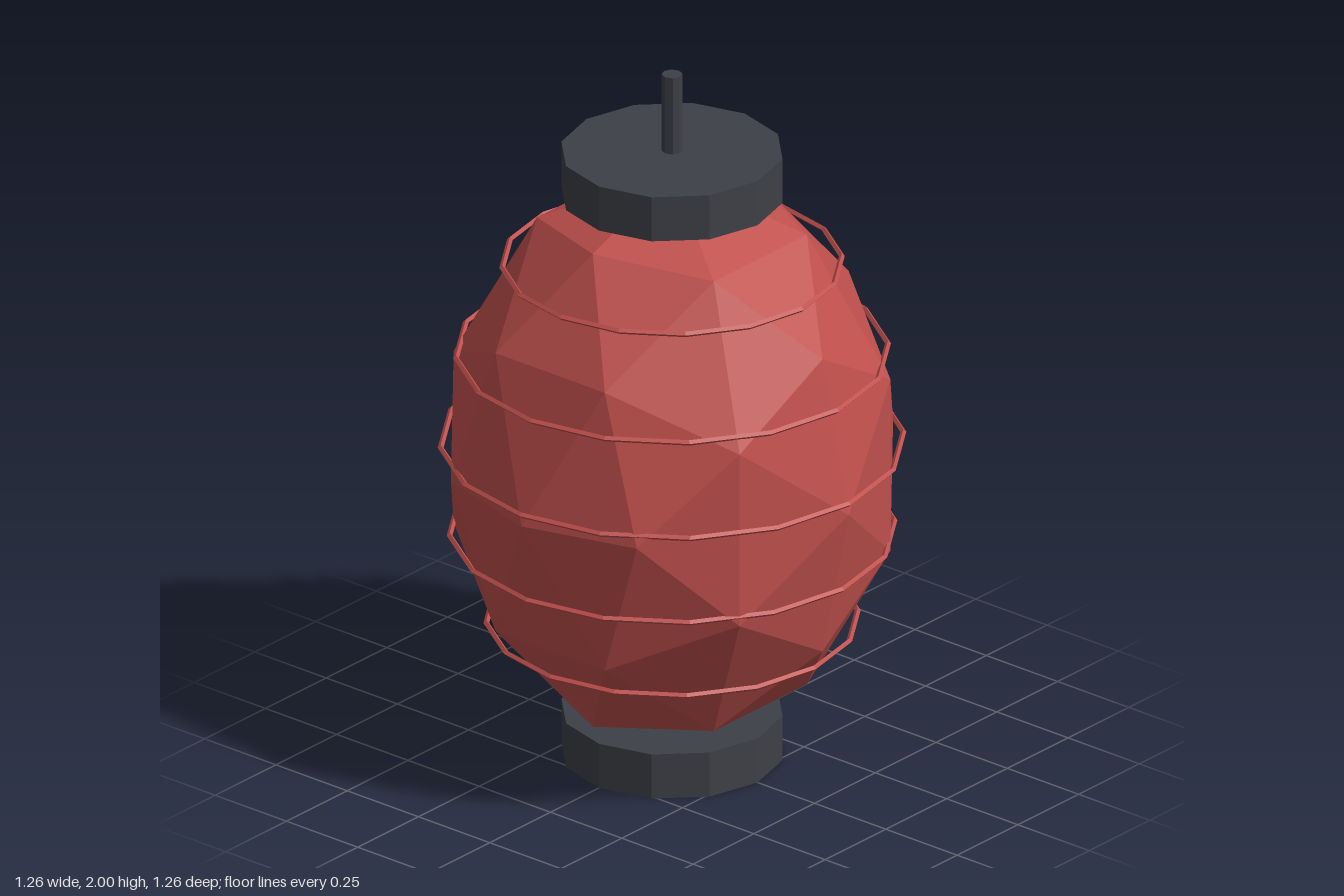
import * as THREE from 'three';

const mat = (name, color) => {
  const m = new THREE.MeshStandardMaterial({ color, flatShading: true });
  m.name = name;
  return m;
};

export function createModel() {
  const group = new THREE.Group();
  const red = mat('paper red', 0xc0504d);
  const grey = mat('dark grey', 0x3e4047);

  const add = (name, geometry, material, y) => {
    const mesh = new THREE.Mesh(geometry, material);
    mesh.name = name;
    mesh.position.y = y;
    group.add(mesh);
    return mesh;
  };

  // Faceted egg-shaped lantern body
  const radius = 0.62, halfHeight = 0.82, centreY = 0.8875;
  const shade = new THREE.IcosahedronGeometry(1, 1);
  shade.scale(radius, halfHeight, radius);
  add('shade', shade, red, centreY);

  // Thin ribs following the ideal ellipsoid outline
  [0.398, 0.66, 0.92, 1.183, 1.445].forEach((y, i) => {
    const r = radius * Math.sqrt(1 - ((y - centreY) / halfHeight) ** 2);
    const rib = new THREE.TorusGeometry(r, 0.008, 4, 16);
    rib.rotateX(Math.PI / 2);
    add(`rib${i + 1}`, rib, red, y);
  });

  // End caps
  const cap = new THREE.CylinderGeometry(0.3, 0.3, 0.13, 12);
  add('bottomCap', cap, grey, 0.065);
  add('topCap', cap, grey, 1.71);

  // Hanging rod
  add('hangingRod', new THREE.CylinderGeometry(0.028, 0.028, 0.24, 8), grey, 1.88);

  return group;
}
